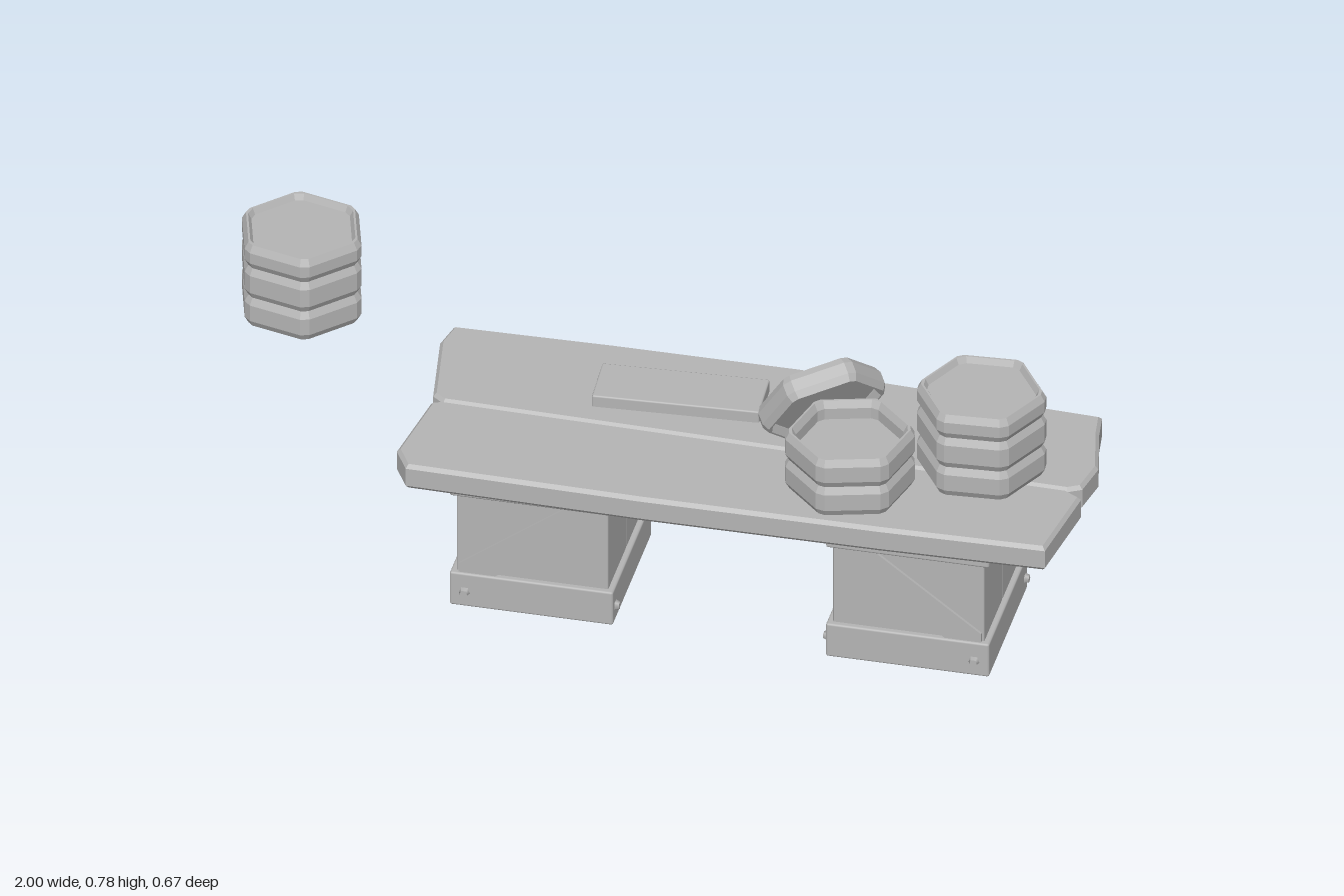
import * as THREE from 'three';
import { RoundedBoxGeometry } from 'three/addons/geometries/RoundedBoxGeometry.js';

const gray = new THREE.MeshStandardMaterial({ color: 0xb4b4b4 });
gray.name = 'plain gray';
const TURN = 0.075; // slight yaw shared by the crates

function add(parent, name, geometry, x = 0, y = 0, z = 0) {
  const mesh = new THREE.Mesh(geometry, gray);
  mesh.name = name;
  mesh.position.set(x, y, z);
  parent.add(mesh);
  return mesh;
}

function subgroup(parent, name) {
  const g = new THREE.Group();
  g.name = name;
  parent.add(g);
  return g;
}

const board = (w, h, d, r = 0.005) => new RoundedBoxGeometry(w, h, d, 1, r);

// Bevelled slab from an outline in x,z; occupies y = 0..height
function slab(shape, height, bevelSize, bevelThickness) {
  const g = new THREE.ExtrudeGeometry(shape, {
    depth: height - 2 * bevelThickness, bevelEnabled: true, bevelSegments: 1,
    bevelSize, bevelThickness, bevelOffset: -bevelSize,
  });
  g.rotateX(Math.PI / 2);
  g.translate(0, height - bevelThickness, 0);
  return g;
}

// Hexagon with small cut corners
function hexPoints(radius) {
  const pts = [];
  for (let i = 0; i < 6; i++) {
    for (const side of [-1, 1]) {
      const a = (i * Math.PI) / 3 + side * 0.075;
      pts.push(new THREE.Vector2(Math.cos(a) * radius, Math.sin(a) * radius));
    }
  }
  return pts;
}

// Stacked hexagonal rings, the top one with a sunken centre
function hexStack(parent, name, heights, sink) {
  const g = subgroup(parent, name);
  const radius = 0.147;
  let y = 0;
  heights.forEach((h, i) => {
    const shape = new THREE.Shape(hexPoints(radius));
    if (i === heights.length - 1) {
      shape.holes.push(new THREE.Path(hexPoints(radius * 0.83)));
      const floor = h - sink;
      add(g, 'sunkenFace', slab(new THREE.Shape(hexPoints(radius * 0.88)), floor, 0.003, 0.003), 0, y, 0);
    }
    add(g, 'ring', slab(shape, h, 0.009, 0.017), 0, y, 0);
    y += h;
  });
  return g;
}

function bolt(parent, x, y, z, onSide) {
  const g = new THREE.CylinderGeometry(0.009, 0.014, 0.012, 5);
  g.rotateX(Math.PI / 2);
  if (onSide) g.rotateY(onSide * Math.PI / 2);
  add(parent, 'bolt', g, x, y, z);
}

// Crate with rails, diagonal braces and bolts; s mirrors the layout in x
function crate(parent, name, x, z, s) {
  const g = subgroup(parent, name);
  g.position.set(x, 0, z);
  g.rotation.y = TURN;
  for (const side of [-1, 1]) {
    add(g, 'bodyHalf', board(0.352, 0.355, 0.176, 0.003), 0, 0.186, side * 0.0885);
  }
  for (let k = 0; k < 2; k++) {
    const half = subgroup(g, 'crateSides');
    half.rotation.y = k * Math.PI;
    for (const [h, y] of [[0.088, 0.049], [0.068, 0.334]]) {
      add(half, 'frontRail', board(0.38, h, 0.026), 0, y, 0.177);
      add(half, 'sideRail', board(0.026, h, 0.376), s * 0.177, y, 0);
    }
    // diagonal brace between the rails
    const pts = [[0.155, 0.085], [0.17, 0.085], [0.17, 0.115], [-0.09, 0.31], [-0.17, 0.31], [-0.17, 0.295], [0.095, 0.085]];
    const shape = new THREE.Shape(pts.map(([px, py]) => new THREE.Vector2(px * s, py)));
    add(half, 'brace', new THREE.ExtrudeGeometry(shape, { depth: 0.012, bevelEnabled: false }), 0, 0, 0.172);
    bolt(half, -0.155 * s, 0.342, 0.194);
    bolt(half, 0.155 * s, 0.045, 0.194);
    bolt(half, 0.194 * s, 0.342, 0.145, s);
    bolt(half, 0.194 * s, 0.045, -0.165, s);
  }
}

export function createModel() {
  const model = new THREE.Group();
  model.name = 'crateTable';

  // Table top: two rough planks meeting in a V groove
  const planks = {
    backPlank: [[-0.57, -0.25], [-0.2, -0.286], [0.23, -0.32], [0.94, -0.34], [0.955, -0.27], [0.995, -0.14],
      [0.985, -0.05], [0.955, -0.03], [-0.5, 0.05], [-0.53, 0.03], [-0.58, -0.18]],
    frontPlank: [[-0.5, 0.05], [0.955, -0.03], [0.995, -0.01], [0.98, 0.215], [0.6, 0.253], [0.05, 0.298],
      [-0.5, 0.33], [-0.54, 0.27], [-0.525, 0.06]],
  };
  for (const [name, pts] of Object.entries(planks)) {
    const shape = new THREE.Shape(pts.map(([x, z]) => new THREE.Vector2(x, z)));
    add(model, name, slab(shape, 0.064, 0.008, 0.009), 0, 0.361, 0);
  }

  // Supporting crates
  crate(model, 'leftmostCrate', -0.25, 0.035, -1);
  crate(model, 'rightmostCrate', 0.625, -0.02, 1);

  // Small board lying on the table
  add(model, 'smallBoard', board(0.385, 0.034, 0.137, 0.004), 0.01, 0.437, -0.12).rotation.y = 0.13;

  // Hexagonal stacks
  const floating = hexStack(model, 'floatingStack', [0.076, 0.08, 0.062], 0.014);
  floating.position.set(-0.855, 0.571, -0.012);
  floating.rotation.y = -0.17;
  const closed = hexStack(model, 'closedStack', [0.076, 0.08, 0.062], 0.014);
  closed.position.set(0.745, 0.427, -0.053);
  closed.rotation.y = 0.14;
  const open = hexStack(model, 'openContainer', [0.076, 0.074], 0.045);
  open.position.set(0.482, 0.427, 0.103);
  open.rotation.y = 0.35;

  // Lid leaning against the open container, hollow side towards it
  const leaning = subgroup(model, 'leaningLid');
  leaning.position.set(0.37, 0.543, -0.04);
  leaning.lookAt(0.37 + 0.55, 0.543 - 0.5, -0.04 + 0.65);
  const lid = hexStack(leaning, 'lid', [0.062], 0.02);
  lid.position.z = -0.031;
  lid.rotation.set(Math.PI / 2, 0.25, 0);

  return model;
}
